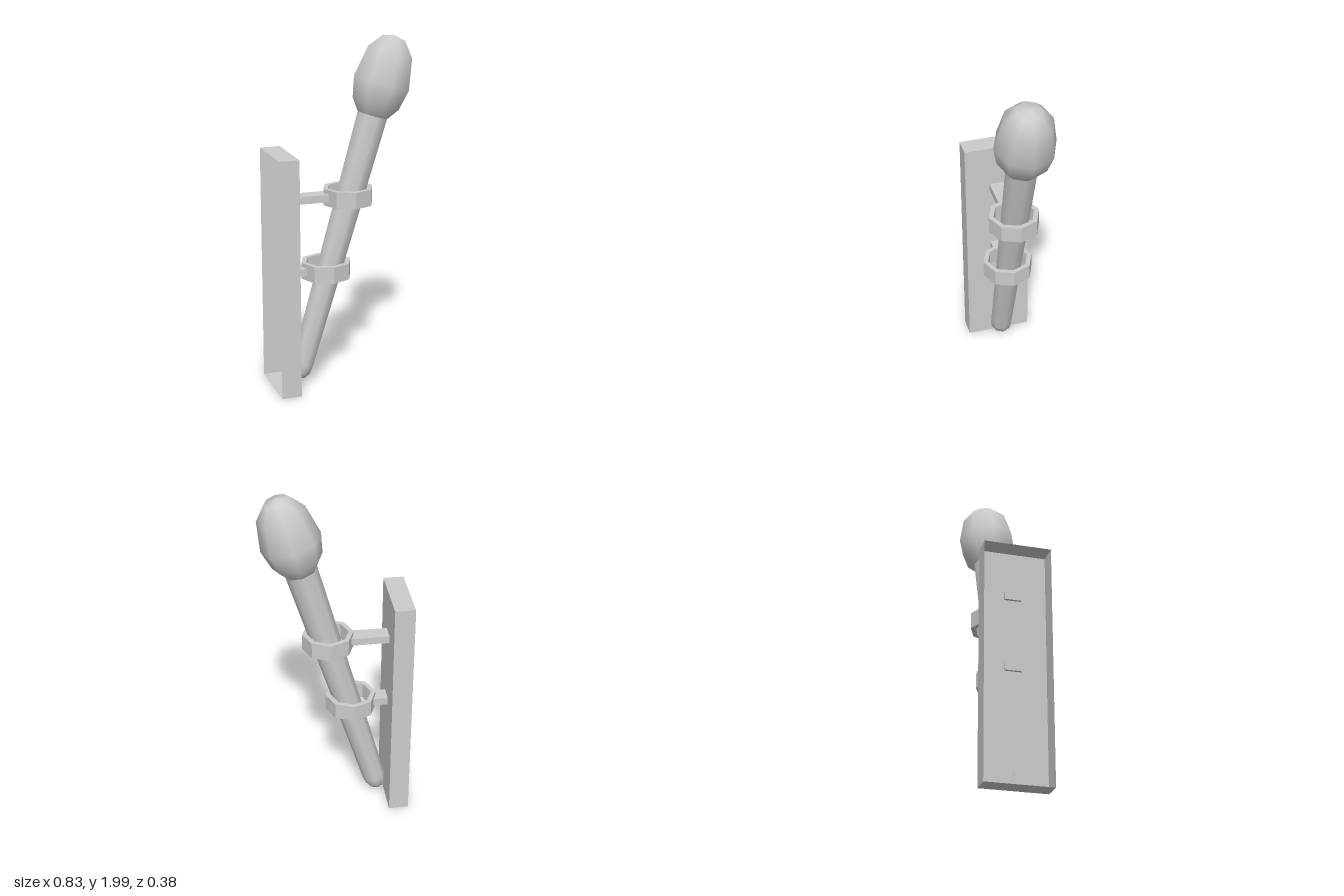
import * as THREE from 'three';

const material = new THREE.MeshStandardMaterial({ color: 0xcccccc, side: THREE.DoubleSide });

function addPart(parent, name, geometry, x = 0, y = 0, z = 0) {
  const mesh = new THREE.Mesh(geometry, material);
  mesh.name = name;
  mesh.position.set(x, y, z);
  parent.add(mesh);
  return mesh;
}

// Eight-sided turned body from [radius, height] pairs
const turned = (profile) =>
  new THREE.LatheGeometry(profile.map(([r, h]) => new THREE.Vector2(r, h)), 8);

const octagon = (radius) => Array.from({ length: 8 }, (_, i) => {
  const a = i * Math.PI / 4;
  return new THREE.Vector2(radius * Math.cos(a), radius * Math.sin(a));
});

// Flat octagonal band standing on its own base
function bandGeometry(outer, inner, height) {
  const shape = new THREE.Shape(octagon(outer));
  shape.holes.push(new THREE.Path(octagon(inner)));
  return new THREE.ExtrudeGeometry(shape, { depth: height, bevelEnabled: false })
    .rotateX(-Math.PI / 2);
}

export function createModel() {
  const model = new THREE.Group();
  model.name = 'wallTorch';

  // Wall plate: a shallow tray, open towards the wall (-x)
  const plate = new THREE.BoxGeometry(0.115, 1.37, 0.38);
  const faces = Array.from(plate.index.array);
  faces.splice(6, 6);
  plate.setIndex(faces);
  plate.clearGroups();
  addPart(model, 'wallPlate', plate, -0.3625, 0.685, 0);

  // Two holders, each a band on a flat arm
  const holders = [
    { name: 'upperHolder', x: 0.037, y: 1.055 },
    { name: 'lowerHolder', x: -0.095, y: 0.635 },
  ];
  for (const { name, x, y } of holders) {
    const holder = new THREE.Group();
    holder.name = name;
    addPart(holder, 'band', bandGeometry(0.146, 0.118, 0.095), x, y, 0);
    const start = -0.32, end = x - 0.125;
    addPart(holder, 'arm', new THREE.BoxGeometry(end - start, 0.043, 0.093),
      (start + end) / 2, y + 0.049, 0);
    model.add(holder);
  }

  // Leaning torch: tapered handle with a bulbous head
  const torch = new THREE.Group();
  torch.name = 'torch';
  torch.position.set(-0.241, 0.114, 0);
  torch.rotation.z = -0.286;
  addPart(torch, 'handle', turned([
    [0, -0.085], [0.037, -0.073], [0.06, -0.038], [0.067, 0.01], [0.092, 1.52],
  ]));
  addPart(torch, 'head', turned([
    [0.088, 1.495], [0.143, 1.568], [0.17, 1.686], [0.136, 1.862], [0.069, 1.94], [0, 1.955],
  ]));
  model.add(torch);

  return model;
}
